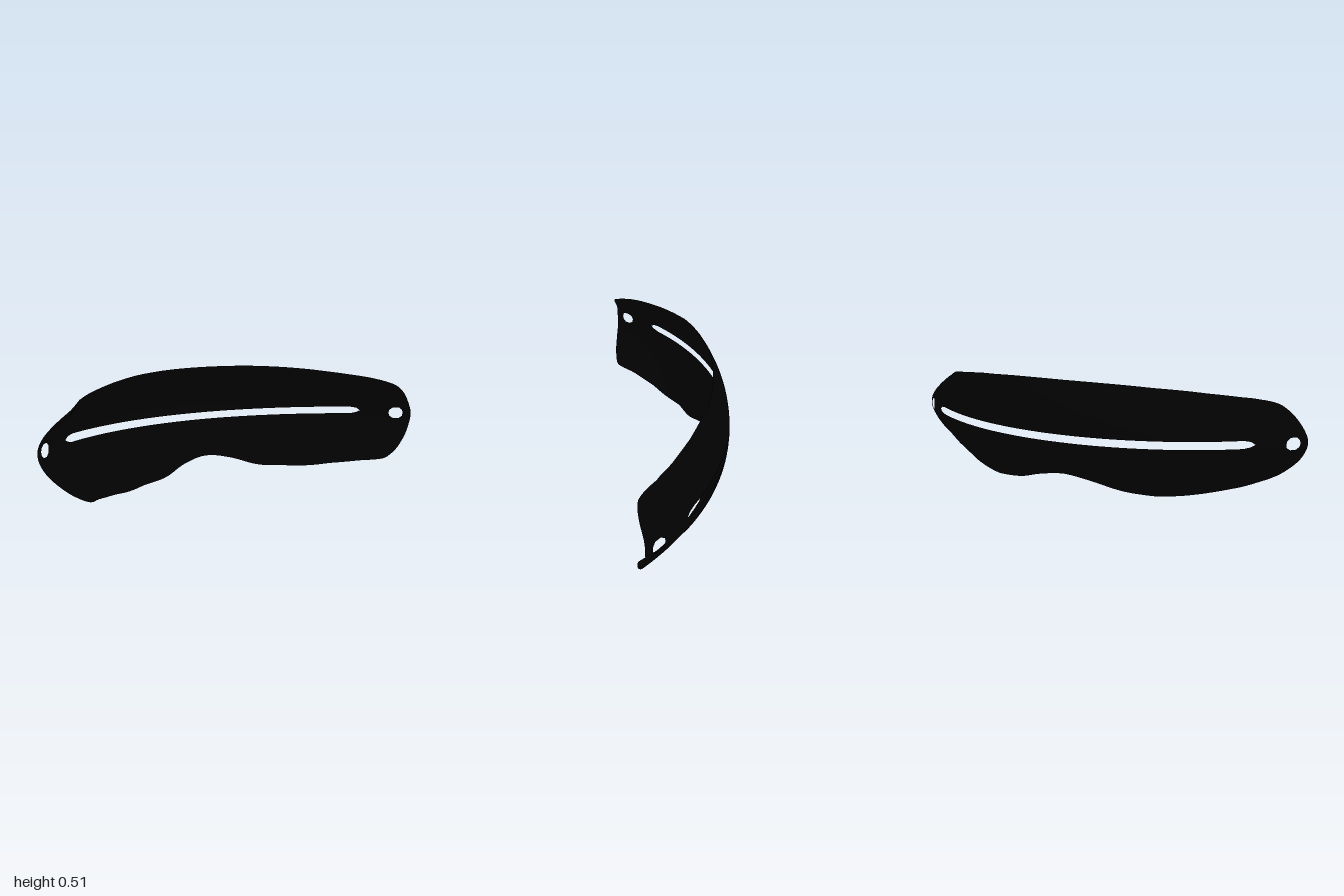
import * as THREE from 'three';
import { mergeVertices } from 'three/addons/utils/BufferGeometryUtils.js';

// Outline heights at x = sin(t), evenly spaced in t from the middle to the tip
const TOP = [0.51, 0.509, 0.505, 0.497, 0.486, 0.471, 0.455, 0.437, 0.408, 0.368, 0.325, 0.285, 0.25];
const BOTTOM = [0.08, 0.058, 0.017, 0.003, 0, 0.011, 0.024, 0.04, 0.075, 0.12, 0.165, 0.21, 0.25];

// Openings as [x, lower edge, upper edge]: the long slit, then the strap hole
const GAP = [
  [0, 0.247, 0.281], [0.77, 0.246, 0.281], [0.797, 0.252, 0.275], [0.813, 0.262, 0.262],
  [0.9235, 0.252, 0.252], [0.925, 0.237, 0.267], [0.937, 0.225, 0.28], [0.958, 0.225, 0.28],
  [0.97, 0.237, 0.267], [0.9735, 0.252, 0.252], [1, 0.25, 0.25],
];

// How strongly the shell bends inward above and below its middle, as [x, below, above]
const BEND = [
  [0, 2.6, 1.18], [0.2, 2.1, 1.2], [0.4, 1.72, 1.3], [0.6, 2.25, 1.83], [0.73, 2.87, 2.35],
  [0.8, 3.6, 2.9], [0.87, 3.7, 4.3], [0.96, 4.1, 5.2], [1, 4.1, 5.2],
];

// Smooth lookup along the outline
function outline(table, x) {
  const f = Math.asin(Math.min(1, x)) / (Math.PI / 2) * (table.length - 1);
  const i = Math.min(table.length - 2, Math.floor(f)), s = f - i;
  const a = table[i], b = table[i + 1];
  const p = i > 0 ? table[i - 1] : b;
  const q = i + 2 < table.length ? table[i + 2] : 2 * b - a;
  return a + 0.5 * s * (b - p + s * (2 * p - 5 * a + 4 * b - q + s * (3 * (a - b) + q - p)));
}

// Straight lookup in a table of rows that start with x
function lookup(table, x, column) {
  let i = 0;
  while (i < table.length - 2 && x > table[i + 1][0]) i++;
  const a = table[i], b = table[i + 1];
  return THREE.MathUtils.lerp(a[column], b[column], (x - a[0]) / (b[0] - a[0]));
}

// Depth of the curved shell: an arc whose radius shrinks away from mid height
function depth(x, y, side) {
  const r = 1.326 - lookup(BEND, Math.abs(x), side) * (y - 0.25) ** 2;
  return 1.086 - Math.sqrt(Math.max(0, r * r - x * x));
}

export function createModel() {
  const group = new THREE.Group();
  group.name = 'visor';
  const black = new THREE.MeshStandardMaterial({ color: 0x020202, side: THREE.DoubleSide });
  black.name = 'black';

  // Columns, with extra ones at the corners of the openings
  const half = GAP.map((g) => g[0]);
  for (let i = 1; i < 72; i++) half.push(Math.sin(i / 72 * Math.PI / 2));
  half.sort((a, b) => a - b);
  const columns = [...half.slice(1).reverse().map((x) => -x), ...half];

  // One strip below the openings and one above, joined where there is no opening
  const rows = 12, positions = [], indices = [];
  for (const side of [1, 2]) {
    const start = positions.length / 3;
    columns.forEach((x, c) => {
      const ax = Math.abs(x);
      const edge = lookup(GAP, ax, side);
      const rim = outline(side === 1 ? BOTTOM : TOP, ax);
      for (let r = 0; r <= rows; r++) {
        const y = THREE.MathUtils.lerp(edge, rim, r / rows);
        positions.push(x, y, depth(x, y, y < 0.25 ? 1 : 2));
        if (c === 0 || r === 0) continue;
        const d = start + c * (rows + 1) + r, b = d - rows - 1;
        if (side === 1) indices.push(b - 1, b, d, b - 1, d, d - 1);
        else indices.push(b - 1, d, b, b - 1, d - 1, d);
      }
    });
  }
  let geometry = new THREE.BufferGeometry();
  geometry.setAttribute('position', new THREE.Float32BufferAttribute(positions, 3));
  geometry.setIndex(indices);
  geometry = mergeVertices(geometry, 1e-5);
  geometry.computeVertexNormals();

  const shell = new THREE.Mesh(geometry, black);
  shell.name = 'visorShell';
  group.add(shell);
  return group;
}
